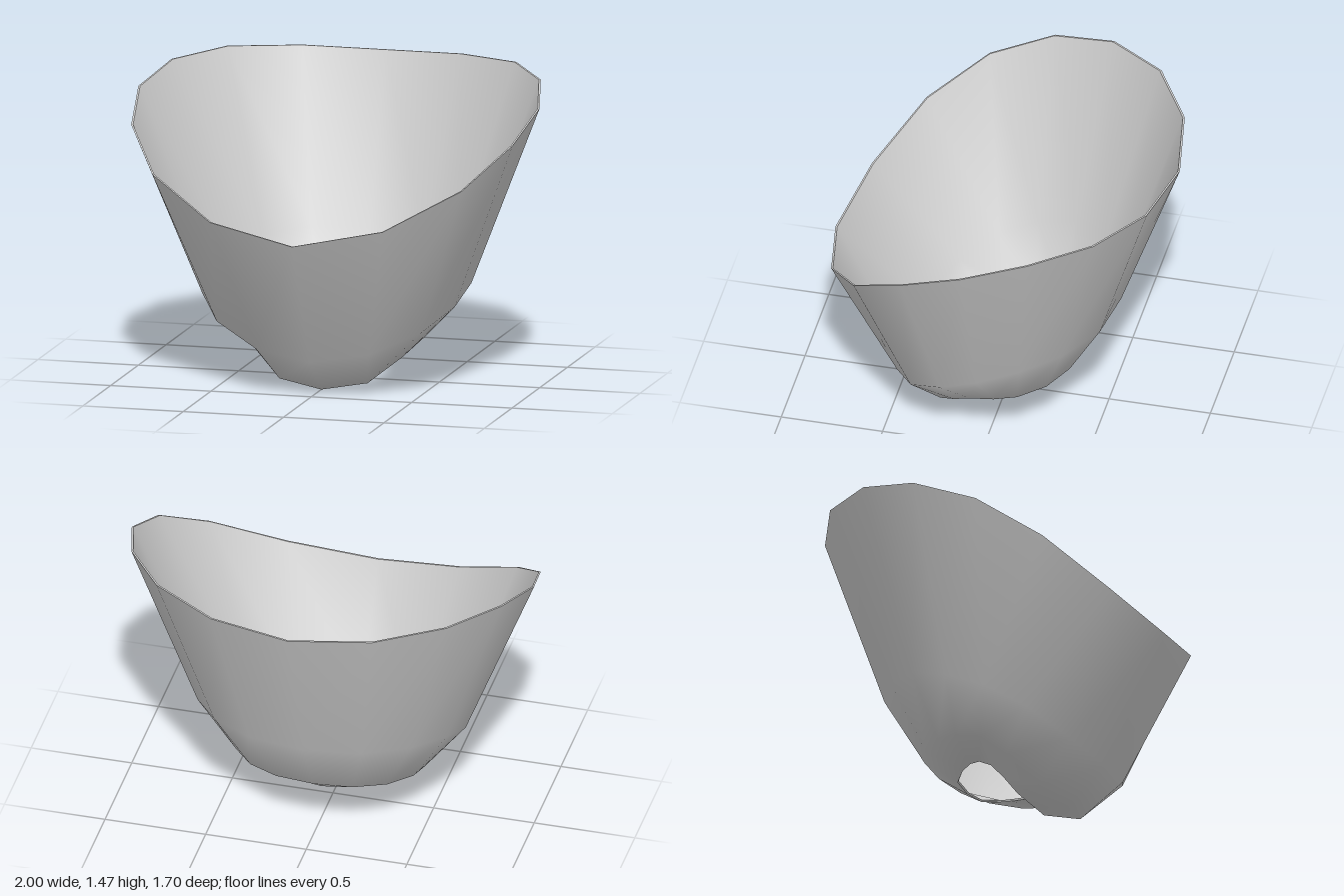
import * as THREE from 'three';

// Half rings from front to back as [x, y, z]; mirrored to 16 sides
const RIM = [[0, .81, .85], [.43, .89, .77], [.77, 1.07, .58], [.95, 1.25, .31], [1, 1.375, 0],
  [.92, 1.45, -.31], [.72, 1.47, -.59], [.4, 1.455, -.78], [0, 1.44, -.85]];
const WAIST = [[0, .18, .53], [.28, .22, .48], [.51, .32, .36], [.63, .42, .19], [.66, .5, 0],
  [.62, .57, -.2], [.49, .6, -.38], [.28, .62, -.52], [0, .62, -.56]];
const BASE = [[0, .005, .32], [.22, .04, .28], [.37, .16, .18], [.45, .24, .08], [.47, .27, -.04],
  [.44, .28, -.15], [.34, .29, -.27], [.19, .3, -.35], [0, .3, -.37]];
const HOLE = [[0, .04, .145], [.14, .06, .125], [.2, .13, .08], [.235, .19, .03], [.24, .22, -.03],
  [.235, .22, -.08], [.2, .21, -.14], [.125, .195, -.205], [0, .185, -.215]];

const N = 16, WALL = 0.01;

const fullRing = (half) => [...half, ...half.slice(1, -1).reverse().map(([x, y, z]) => [-x, y, z])];

// Skin closed rings together; rings run from top to bottom for an outward face
function loft(rings, flip = false) {
  const index = [];
  for (let r = 0; r < rings.length - 1; r++) {
    for (let i = 0; i < N; i++) {
      const j = (i + 1) % N;
      const a = r * N + i, b = r * N + j, c = a + N, d = b + N;
      if (flip) index.push(a, b, c, b, d, c);
      else index.push(a, c, b, b, c, d);
    }
  }
  const geo = new THREE.BufferGeometry();
  geo.setAttribute('position', new THREE.Float32BufferAttribute(rings.flat(2), 3));
  geo.setIndex(index);
  geo.computeVertexNormals();
  return geo;
}

export function createModel() {
  const group = new THREE.Group();
  group.name = 'tiltedCup';
  const material = new THREE.MeshStandardMaterial({ color: 0xcccccc, side: THREE.DoubleSide });
  const add = (name, geo) => {
    const mesh = new THREE.Mesh(geo, material);
    mesh.name = name;
    group.add(mesh);
  };

  // Outer wall, down to the hole in the bottom
  const outer = [RIM, WAIST, BASE, HOLE].map(fullRing);
  const outerGeo = loft(outer);
  add('outerWall', outerGeo);

  // Inner wall, set in along the outer normals
  const n = outerGeo.attributes.normal;
  const inner = outer.map((ring, r) => ring.map((p, i) => {
    const k = r * N + i;
    const up = r === 0 ? 0 : n.getY(k);
    return [p[0] - n.getX(k) * WALL, p[1] - up * WALL, p[2] - n.getZ(k) * WALL];
  }));
  add('innerWall', loft(inner, true));

  // Narrow edges closing the wall at the rim and the hole
  add('rimEdge', loft([inner[0], outer[0]]));
  add('holeEdge', loft([outer[3], inner[3]]));
  return group;
}
